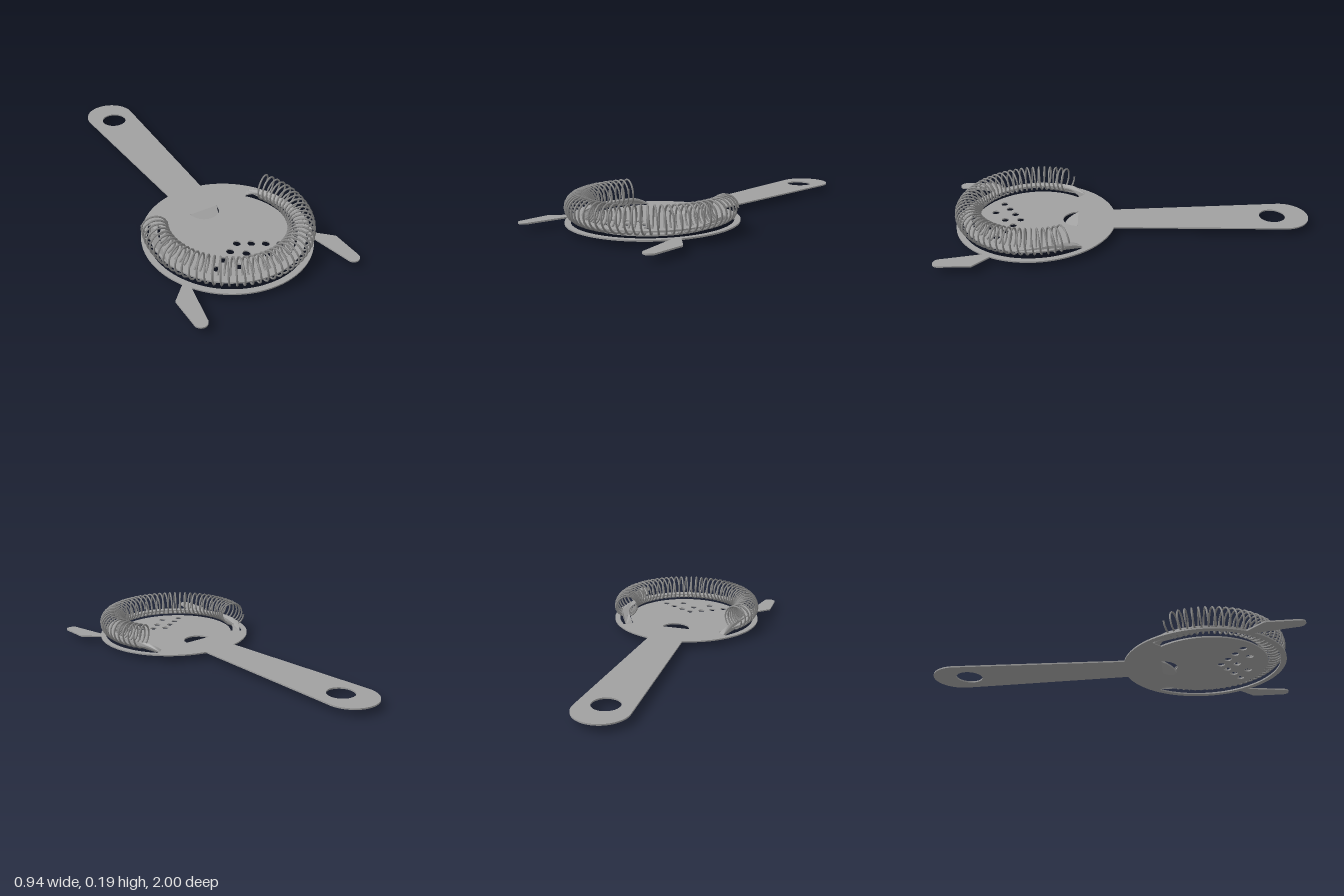
import * as THREE from 'three';

const DISC_Z = 0.51, DISC_R = 0.437;
const TOP = 0.041, THICK = 0.008;
const rad = THREE.MathUtils.degToRad;

// Extrudes a shape drawn in (x, z) into a flat sheet whose top is at height y
function sheet(shape, y = TOP) {
  const g = new THREE.ExtrudeGeometry(shape, { depth: THICK, bevelEnabled: false, curveSegments: 80 });
  return g.rotateX(Math.PI / 2).translate(0, y, 0);
}

// Ring segment around the disc centre, angles in degrees
function arcBand(path, inner, outer, from, to) {
  path.absarc(0, DISC_Z, outer, rad(from), rad(to), false);
  path.absarc(0, DISC_Z, inner, rad(to), rad(from), true);
  path.closePath();
  return path;
}

// Half ellipse whose straight side lies on the x axis
function halfMoon(path, z, width, depth) {
  path.absellipse(0, z, width, depth, 0, Math.PI, false, 0);
  path.closePath();
  return path;
}

function circleHole(x, z, r) {
  return new THREE.Path().absarc(x, z, r, 0, Math.PI * 2, false);
}

function plateShape() {
  const s = new THREE.Shape();
  const disc = (a, b) => s.absarc(0, DISC_Z, DISC_R, rad(a), rad(b), false);
  // disc with an ear on each side
  disc(-76.7, 28.6);
  s.lineTo(0.468, 0.8);
  s.absarc(0.434, 0.966, 0.034, 0, Math.PI, false);
  disc(34.8, 145.2);
  s.absarc(-0.434, 0.966, 0.034, 0, Math.PI, false);
  s.lineTo(-0.468, 0.8);
  disc(151.4, 256.7);
  // tapered handle with a round end
  s.absarc(0, -0.858, 0.142, Math.PI, Math.PI * 2, false);
  s.closePath();

  // hanging hole, half-moon opening and spring slot
  s.holes.push(
    circleHole(0, -0.8, 0.072),
    halfMoon(new THREE.Path(), 0.283, 0.081, 0.081),
    arcBand(new THREE.Path(), 0.34, 0.407, -40, 220),
  );

  // drain holes
  const drains = [[0, 0.6], [0, 0.685], [0.063, 0.635], [0.125, 0.672], [0.187, 0.71], [0.087, 0.748]];
  for (const [x, z] of drains) {
    s.holes.push(circleHole(x, z, 0.02));
    if (x) s.holes.push(circleHole(-x, z, 0.02));
  }
  return s;
}

// Strip that rises out of both slot ends and runs through the spring
function springStripGeometry() {
  const g = sheet(arcBand(new THREE.Shape(), 0.353, 0.395, -41, 221));
  const p = g.attributes.position;
  for (let i = 0; i < p.count; i++) {
    const a = Math.atan2(p.getZ(i) - DISC_Z, Math.abs(p.getX(i)));
    const t = THREE.MathUtils.clamp((a - rad(-41)) / rad(13), 0, 1);
    p.setY(i, p.getY(i) + 0.031 * Math.sin(t * Math.PI / 2));
  }
  g.computeVertexNormals();
  return g;
}

// Helix wound around an arc that follows the disc edge
class SpringCurve extends THREE.Curve {
  getPoint(t, target = new THREE.Vector3()) {
    const a = rad(-27 + 234 * t), w = t * 47 * Math.PI * 2;
    const r = 0.368 + 0.066 * Math.cos(w);
    return target.set(r * Math.cos(a), 0.116 + 0.066 * Math.sin(w), DISC_Z + r * Math.sin(a));
  }
}

export function createModel() {
  const steel = new THREE.MeshStandardMaterial({ color: 0xa0a0a0 });
  steel.name = 'brushed steel';
  const wire = new THREE.MeshStandardMaterial({ color: 0x888888 });
  wire.name = 'spring wire';

  const model = new THREE.Group();
  model.name = 'cocktailStrainer';
  const add = (name, geometry, material) => {
    const mesh = new THREE.Mesh(geometry, material);
    mesh.name = name;
    model.add(mesh);
    return mesh;
  };

  add('plateAndHandle', sheet(plateShape()), steel);

  // half-moon lip hinged downward at the opening
  const lip = add('lip', sheet(halfMoon(new THREE.Shape(), 0, 0.077, 0.082), 0), steel);
  lip.position.set(0, TOP, 0.283);
  lip.rotation.x = rad(24);

  add('springStrip', springStripGeometry(), steel);

  // coil spring
  const spring = new SpringCurve();
  spring.arcLengthDivisions = 3000;
  add('spring', new THREE.TubeGeometry(spring, 47 * 18, 0.005, 6, false), wire);

  return model;
}
